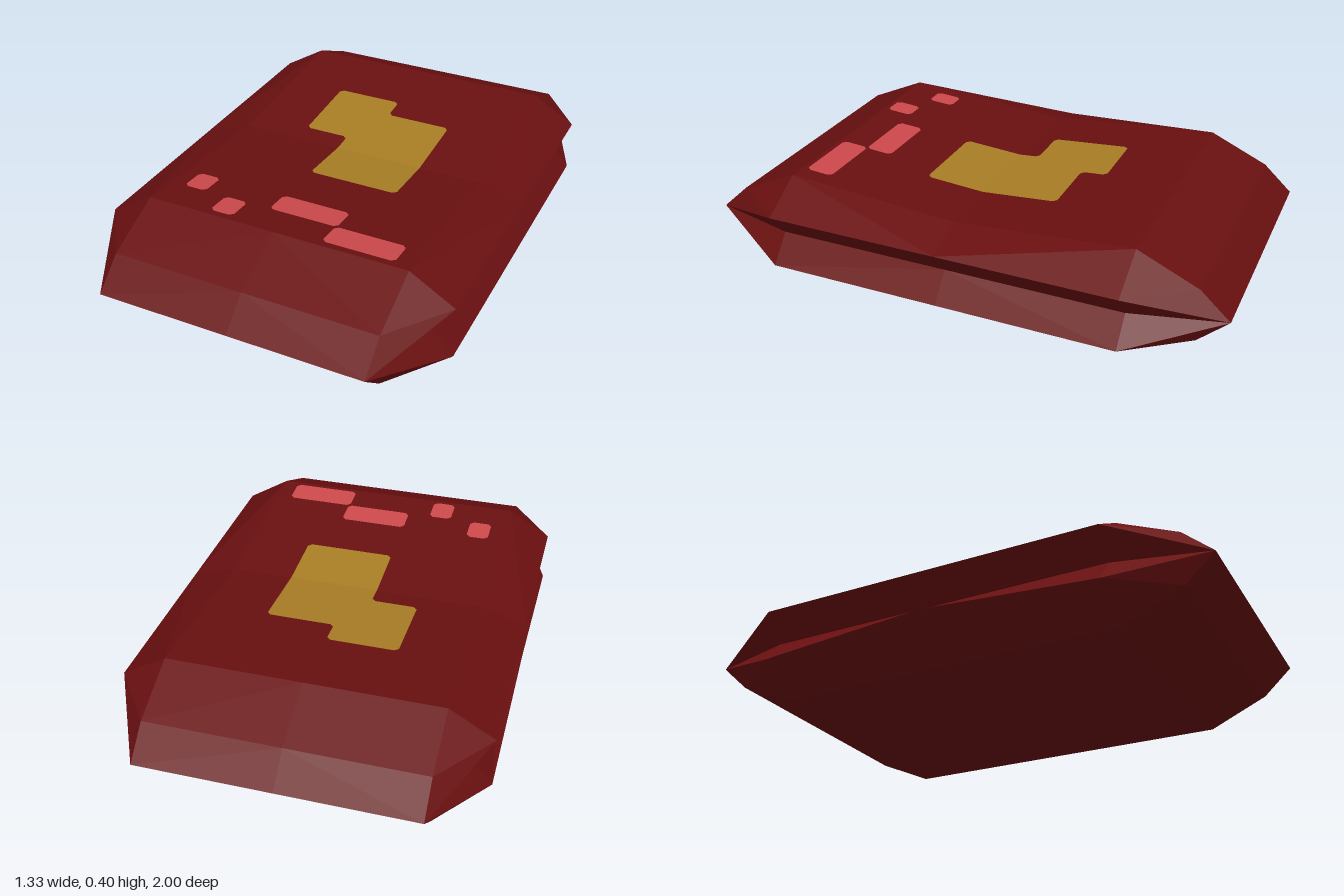
import * as THREE from 'three';

const mat = (name, color) => {
  const m = new THREE.MeshStandardMaterial({ color });
  m.name = name;
  m.flatShading = true;
  return m;
};

// One eighth of the grooved, bevelled slab, reflected by the three signs
function addOctant(out, sx, sy, sz) {
  const mid = 0.2;
  const dip = sy > 0 ? 0.15 : 0.2;                // top sags at the middle
  const rim = sx < 0 && sy < 0 ? 0.05 : 0.1;      // one lower rim is pushed up
  const p = {
    T: [0.5, 0.2, 0.667], Tc: [0, 0.2, 0.667],    // flat face edge
    T0: [0.5, dip, 0], T0c: [0, dip, 0],
    B: [0.5, 0.1, 0.89], Bc: [0, 0.1, 0.89],      // end bevel
    C: [0.5, 0, 1], Cc: [0, 0, 1],                // end ridge
    A: [0.667, 0.1, 0.667], A0: [0.667, rim, 0],  // side rim
    D: [0.583, 0, 0.667], D0: [0.583, 0, 0],      // groove bottom
  };
  const faces = [
    ['Tc', 'T', 'T0', 'T0c'],
    ['Tc', 'Bc', 'B', 'T'],
    ['Bc', 'Cc', 'C', 'B'],
    ['T', 'A', 'A0', 'T0'],
    ['A', 'D', 'D0', 'A0'],
    ['T', 'B', 'A'], ['B', 'C', 'A'], ['A', 'C', 'D'],
  ];
  for (const f of faces) {
    for (let i = 1; i < f.length - 1; i++) {
      const tri = [f[0], f[i], f[i + 1]];
      if (sx * sy * sz < 0) tri.reverse();
      for (const k of tri) out.push(p[k][0] * sx, mid + p[k][1] * sy, p[k][2] * sz);
    }
  }
}

function slabGeometry() {
  const v = [];
  for (const sx of [1, -1]) for (const sy of [1, -1]) for (const sz of [1, -1]) addOctant(v, sx, sy, sz);
  const g = new THREE.BufferGeometry();
  g.setAttribute('position', new THREE.Float32BufferAttribute(v, 3));
  g.computeVertexNormals();
  return g;
}

// Thin painted patch on the sagging top; corners [x, z] are clipped except on the fold
function patchGeometry(corners) {
  const cut = 0.014, pts = [], n = corners.length;
  corners.forEach(([x, z], i) => {
    const here = new THREE.Vector2(x, -z);
    if (z === 0) return pts.push(here);
    for (const j of [(i + n - 1) % n, (i + 1) % n]) {
      const dir = new THREE.Vector2(corners[j][0], -corners[j][1]).sub(here).normalize();
      pts.push(here.clone().addScaledVector(dir, cut));
    }
  });
  const g = new THREE.ShapeGeometry(new THREE.Shape(pts)).rotateX(-Math.PI / 2);
  const pos = g.attributes.position;
  for (let i = 0; i < pos.count; i++) pos.setY(i, 0.354 + 0.075 * Math.abs(pos.getZ(i)));
  g.computeVertexNormals();
  return g;
}

const rect = (x0, x1, z0, z1) => [[x0, z0], [x1, z0], [x1, z1], [x0, z1]];

export function createModel() {
  const model = new THREE.Group();
  model.name = 'slab';
  const red = mat('dark red', 0x690f10);
  const gold = mat('gold', 0xa87d25);
  const pink = mat('coral', 0xcc484b);
  const add = (name, geometry, material) => {
    const m = new THREE.Mesh(geometry, material);
    m.name = name;
    model.add(m);
  };

  add('body', slabGeometry(), red);

  // Gold emblem, split along the fold
  add('goldPatchBack', patchGeometry([
    [-0.265, -0.39], [0, -0.39], [0, -0.29], [0.26, -0.29],
    [0.26, 0], [-0.087, 0], [-0.087, -0.08], [-0.265, -0.08],
  ]), gold);
  add('goldPatchFront', patchGeometry(rect(-0.087, 0.26, 0, 0.23)), gold);

  // Small coral marks
  [
    [-0.44, -0.352, 0.435, 0.54],
    [-0.265, -0.175, 0.54, 0.645],
    [-0.087, 0.178, 0.435, 0.54],
    [0.172, 0.44, 0.54, 0.645],
  ].forEach((r, i) => add('coralMark' + (i + 1), patchGeometry(rect(...r)), pink));

  return model;
}
